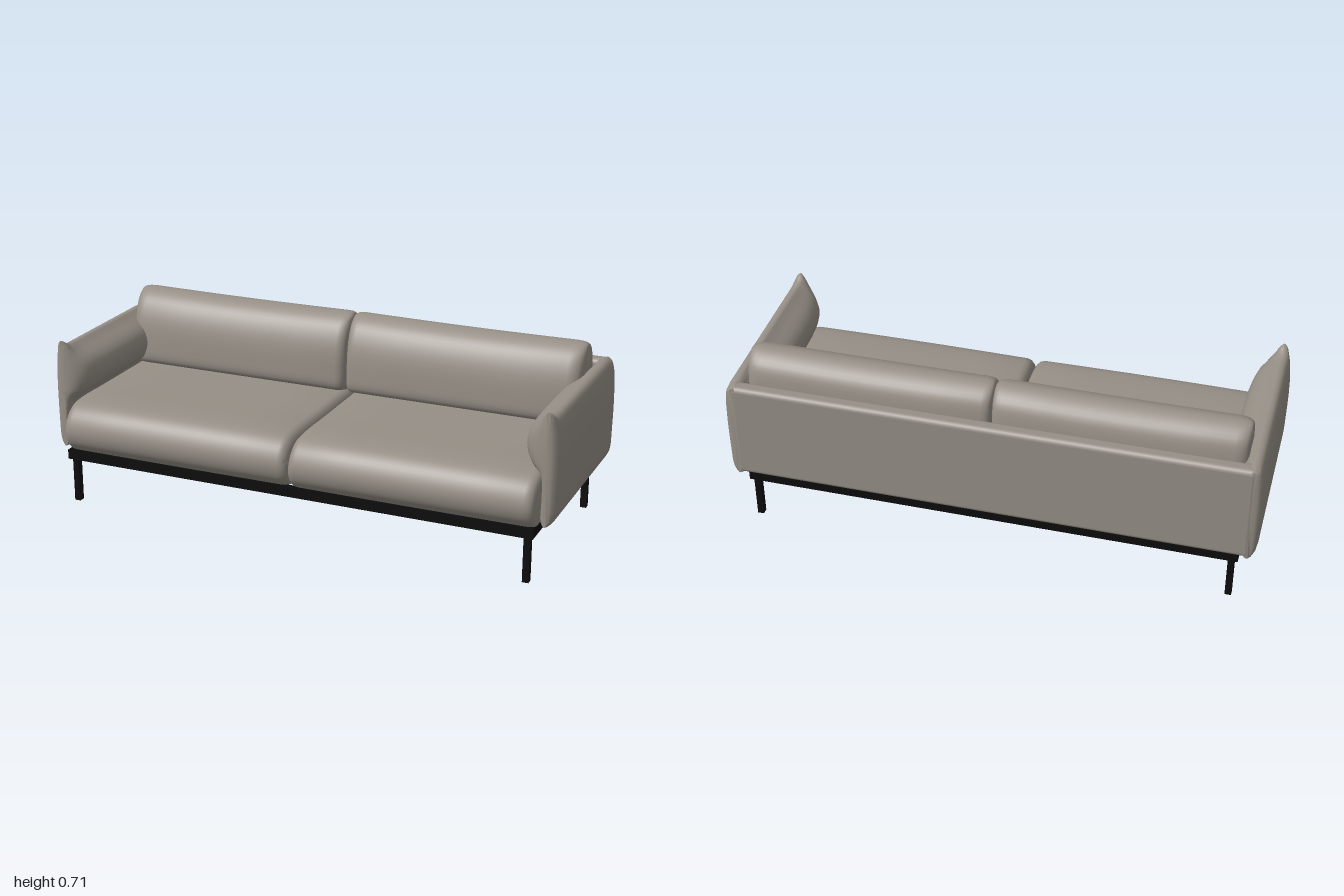
import * as THREE from 'three';
import { toCreasedNormals } from 'three/addons/utils/BufferGeometryUtils.js';
import { RoundedBoxGeometry } from 'three/addons/geometries/RoundedBoxGeometry.js';

const fabric = new THREE.MeshStandardMaterial({ color: 0x968f86, side: THREE.DoubleSide });
fabric.name = 'greyFabric';
const metal = new THREE.MeshStandardMaterial({ color: 0x0c0c0c });
metal.name = 'blackMetal';

// Smooth 2D section through a few points
function smooth(points, closed, n) {
  const curve = new THREE.CatmullRomCurve3(points.map(([a, b]) => new THREE.Vector3(a, b, 0)), closed, 'centripetal');
  const out = curve.getPoints(n);
  if (closed) out.pop();
  return out.map((p) => [p.x, p.y]);
}

// Skin over a row of sections, with a fan cap on both ends
function loft(rings, closed) {
  const n = rings[0].length;
  const steps = closed ? n : n - 1;
  const pos = rings.flat().flatMap((p) => p.toArray());
  const index = [];
  for (let i = 0; i < rings.length - 1; i++) {
    for (let j = 0; j < steps; j++) {
      const a = i * n + j, b = i * n + (j + 1) % n;
      index.push(a, b, a + n, b, b + n, a + n);
    }
  }
  [0, rings.length - 1].forEach((r) => {
    const ring = rings[r];
    const c = new THREE.Vector3();
    const used = closed ? ring : [ring[0], ring[n - 1]];
    used.forEach((p) => c.addScaledVector(p, 1 / used.length));
    const ci = pos.length / 3;
    pos.push(...c.toArray());
    for (let j = 0; j < steps; j++) {
      const a = r * n + j, b = r * n + (j + 1) % n;
      index.push(ci, ...(r ? [a, b] : [b, a]));
    }
  });
  const g = new THREE.BufferGeometry();
  g.setAttribute('position', new THREE.Float32BufferAttribute(pos, 3));
  g.setIndex(index);
  return toCreasedNormals(g, 0.85);
}

const mirror = (rings) => rings.map((r) => r.map((p) => new THREE.Vector3(-p.x, p.y, p.z))).reverse();

// Cushion running along x: a (z, y) section that shrinks around a pivot at its rounded ends
function cushionRings(section, pivot, half, x0, x1, inner, outer, crown) {
  const ts = [0, 0.08, 0.25, 0.55, 1];
  const stations = [
    ...ts.map((t) => [x0 + t * inner.r, t, inner]),
    ...[0.2, 0.4, 0.6, 0.8].map((f) => [x0 + inner.r + f * (x1 - x0 - inner.r - outer.r), 1, inner]),
    ...ts.slice().reverse().map((t) => [x1 - t * outer.r, t, outer]),
  ];
  return stations.map(([x, t, end]) => {
    const inset = 1 - Math.sqrt(1 - (1 - t) ** 2);
    const bulge = Math.sin(Math.PI * (x - x0) / (x1 - x0));
    const sz = 1 - inset * end.z / half[0] + crown[0] * bulge;
    const sy = 1 - inset * end.y / half[1] + crown[1] * bulge;
    return section.map(([z, y]) => new THREE.Vector3(x, pivot[1] + (y - pivot[1]) * sy, pivot[0] + (z - pivot[0]) * sz));
  });
}

// Arm running along z, flat outside and pillowed inside
function armRings() {
  const stations = [[-0.405, 0.5], [-0.4, 0.78], [-0.385, 0.95], [-0.36, 1], [-0.28, 1], [-0.18, 1], [-0.05, 1],
    [0.08, 1], [0.18, 1], [0.25, 1], [0.3, 1], [0.325, 0.92], [0.34, 0.7], [0.347, 0.4]];
  return stations.map(([z, k]) => {
    const b = 0.075 * Math.sqrt(Math.max(0, 1 - Math.abs(z / 0.36) ** 4));
    const tip = 0.024 * THREE.MathUtils.smoothstep(z, 0.3, 0.345);
    const drop = 0.008 * THREE.MathUtils.smoothstep(-z, 0.36, 0.405);
    const top = 0.613 + tip - drop;
    const section = smooth([[0.975, 0.213], [0.994, 0.24], [1, 0.33], [1, 0.5], [0.992, 0.58], [0.978, top - 0.005],
      [0.955, top], [0.935, top - 0.015], [0.93 - b * 0.75, 0.555], [0.93 - b, 0.5], [0.93 - b * 0.7, 0.44],
      [0.937, 0.395], [0.942, 0.3], [0.945, 0.22]], true, 42);
    return section.map(([x, y]) => new THREE.Vector3(0.962 + (x - 0.962) * k, y, z));
  });
}

export function createModel() {
  const model = new THREE.Group();
  model.name = 'sofa';
  const add = (name, geometry, material, x = 0, y = 0, z = 0) => {
    const mesh = new THREE.Mesh(geometry, material);
    mesh.name = name;
    mesh.position.set(x, y, z);
    model.add(mesh);
  };
  const addPair = (name, rings, closed) => {
    add('left' + name, loft(rings, closed), fabric);
    add('right' + name, loft(mirror(rings), closed), fabric);
  };

  // Seat cushions: shells open underneath, with a rolled front
  const seat = smooth([[-0.35, 0.215], [-0.352, 0.36], [-0.33, 0.395], [-0.15, 0.4], [0.1, 0.4], [0.28, 0.4], [0.345, 0.388],
    [0.385, 0.355], [0.405, 0.3], [0.395, 0.25], [0.365, 0.213]], false, 40);
  addPair('SeatCushion', cushionRings(seat, [0, 0.213], [0.4, 0.187], 0.001, 0.937,
    { r: 0.035, y: 0.045, z: 0.03 }, { r: 0.035, y: 0.025, z: 0.025 }, [0.006, 0.012]), false);

  // Back cushions
  const back = smooth([[-0.335, 0.42], [-0.342, 0.59], [-0.318, 0.67], [-0.25, 0.707], [-0.185, 0.68], [-0.145, 0.615],
    [-0.127, 0.5], [-0.135, 0.42], [-0.22, 0.408]], true, 44);
  addPair('BackCushion', cushionRings(back, [-0.25, 0.5], [0.1, 0.2], 0.002, 0.93,
    { r: 0.035, y: 0.012, z: 0.03 }, { r: 0.05, y: 0.012, z: 0.04 }, [0.04, -0.02]), true);

  // Arms and back panel
  addPair('Arm', armRings(), true);
  add('backPanel', new RoundedBoxGeometry(1.95, 0.395, 0.06, 4, 0.02), fabric, 0, 0.411, -0.377);

  // Open base frame
  for (const z of [0.366, -0.377]) add('longRail', new THREE.BoxGeometry(1.87, 0.037, 0.026), metal, 0, 0.193, z);
  for (const x of [-0.922, 0.922]) add('sideRail', new THREE.BoxGeometry(0.026, 0.037, 0.72), metal, x, 0.193, -0.005);

  // Legs
  for (const x of [-0.91, 0.91]) {
    for (const z of [0.355, -0.367]) add('leg', new THREE.BoxGeometry(0.024, 0.18, 0.025), metal, x, 0.09, z);
  }
  return model;
}
